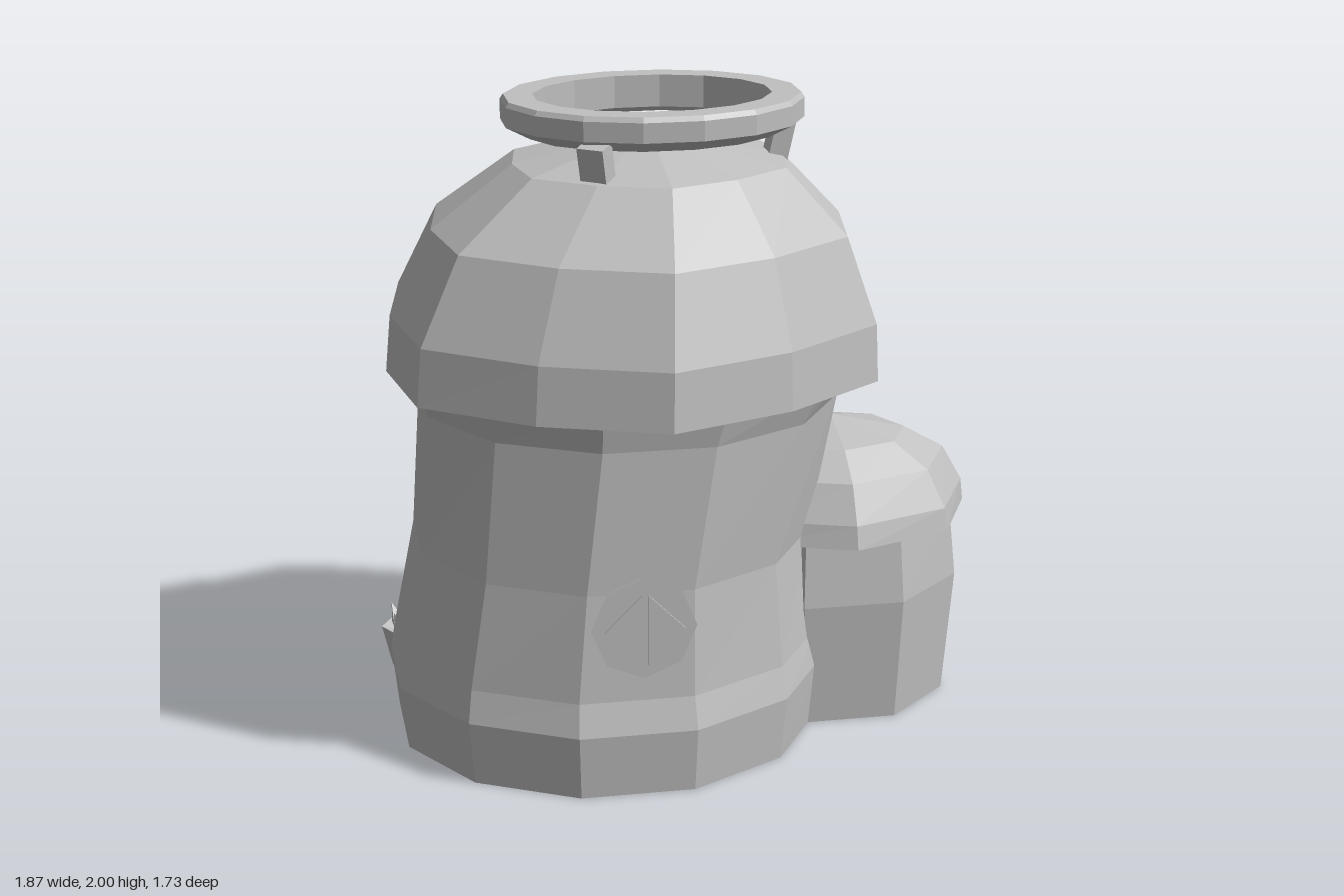
import * as THREE from 'three';

const stone = new THREE.MeshStandardMaterial({ color: 0xc0c0c0, side: THREE.DoubleSide });
stone.name = 'grey stone';

// Faceted loft through rings [y, centreX, radiusX, radiusZ]; a radius of 0 closes to a point.
// turn 0.5 puts a flat face at the front; mid scales every second corner.
function loft(rings, sides, turn = 0, mid = 1) {
  const point = ([y, cx, rx, rz], i) => {
    const a = ((i + turn) / sides) * Math.PI * 2;
    const f = i % 2 ? mid : 1;
    return [cx + Math.sin(a) * rx * f, y, Math.cos(a) * rz * f];
  };
  const pos = [];
  for (let k = 0; k < rings.length - 1; k++) {
    const lo = rings[k], hi = rings[k + 1];
    for (let i = 0; i < sides; i++) {
      const a = point(lo, i), b = point(lo, i + 1), c = point(hi, i + 1), d = point(hi, i);
      if (lo[2] > 0) pos.push(...a, ...b, ...c);
      if (hi[2] > 0) pos.push(...a, ...c, ...d);
    }
  }
  const g = new THREE.BufferGeometry();
  g.setAttribute('position', new THREE.Float32BufferAttribute(pos, 3));
  g.computeVertexNormals();
  return g;
}

const polygon = (pts) => new THREE.Shape(pts.map(([x, y]) => new THREE.Vector2(x, y)));
const extrude = (shape, depth) => new THREE.ExtrudeGeometry(shape, { depth, bevelEnabled: false });

// Box without its underside
function openBox(w, h, d) {
  const g = new THREE.BoxGeometry(w, h, d);
  const index = Array.from(g.index.array);
  index.splice(18, 6);
  g.setIndex(index);
  g.clearGroups();
  return g;
}

// Pointed arch outline standing on y = 0
function archPoints(w, shoulder, peak) {
  const bend = shoulder + (peak - shoulder) * 0.62;
  return [[-w, 0], [w, 0], [w, shoulder], [w * 0.62, bend], [0, peak], [-w * 0.62, bend], [-w, shoulder]];
}

export function createModel() {
  const model = new THREE.Group();
  model.name = 'roundHouse';
  const add = (name, geometry, x = 0, y = 0, z = 0, parent = model) => {
    const mesh = new THREE.Mesh(geometry, stone);
    mesh.name = name;
    mesh.position.set(x, y, z);
    parent.add(mesh);
    return mesh;
  };

  // Main tower, open underneath, leaning slightly as it rises
  add('towerWall', loft([
    [0, -0.265, 0.668, 0.64], [0.2, -0.265, 0.69, 0.657], [0.3, -0.265, 0.673, 0.628],
    [0.63, -0.248, 0.622, 0.602], [1.07, -0.19, 0.652, 0.602], [1.2, -0.175, 0.715, 0.627],
  ], 12, 0.5), 0, 0, 0.11);

  // Domed roof, six-cornered with softly bulging sides
  add('towerRoof', loft([
    [1.175, -0.18, 0.66, 0.62], [1.175, -0.18, 0.797, 0.75], [1.35, -0.175, 0.785, 0.735],
    [1.61, -0.155, 0.668, 0.63], [1.8, -0.12, 0.44, 0.4], [1.895, -0.12, 0, 0],
  ], 12, 0, 0.94), 0, 0, 0.11);

  // Oval crown ring
  add('crownRing', loft([
    [1.885, 0, 0.385, 0.29], [1.925, 0, 0.46, 0.364], [1.985, 0, 0.46, 0.364], [2, 0, 0.45, 0.355],
    [2, 0, 0.362, 0.275], [1.9, 0, 0.362, 0.275], [1.885, 0, 0.385, 0.29],
  ], 16, 0.5), -0.107, 0, 0.11);

  // Three crown supports, tilted outwards
  for (const [x, z] of [[0.39, 0], [-0.21, 0.28], [-0.21, -0.28]]) {
    const leg = add('crownSupport', new THREE.BoxGeometry(0.06, 0.16, 0.085), -0.11 + x, 1.833, 0.11 + z);
    leg.rotation.order = 'YXZ';
    leg.rotation.y = Math.atan2(-z, x);
    leg.rotation.z = -0.22;
  }

  // Side annex, open underneath
  add('annexWall', loft([
    [0, 0.485, 0.384, 0.355], [0.4, 0.485, 0.417, 0.387], [0.62, 0.485, 0.395, 0.36],
  ], 8, 0.5));
  add('annexRoof', loft([
    [0.598, 0.485, 0.38, 0.34], [0.598, 0.485, 0.448, 0.395], [0.67, 0.485, 0.44, 0.375],
    [0.785, 0.485, 0.375, 0.31], [0.86, 0.485, 0.245, 0.2], [0.917, 0.485, 0, 0],
  ], 8));

  // Front window: flared octagonal frame with two thin triangular panes
  const frame = add('windowFrame', loft([
    [0, 0, 0.125, 0.125], [0.085, 0, 0.158, 0.158], [0.085, 0, 0, 0],
  ], 8), -0.25, 0.545, 0.67);
  frame.rotation.x = Math.PI / 2;
  for (const s of [-1, 1]) {
    const pts = [[s * 0.01, -0.11], [s * 0.12, 0], [s * 0.01, 0.11]];
    add('windowPane', extrude(polygon(pts), 0.008), -0.25, 0.545, 0.767);
  }

  // Back door with pointed arch frame
  const arch = polygon(archPoints(0.235, 0.5, 0.835));
  arch.holes.push(polygon(archPoints(0.17, 0.43, 0.67).reverse()));
  add('doorFrame', extrude(arch, 0.18), -0.315, 0.2, -0.578);
  add('door', extrude(polygon(archPoints(0.18, 0.44, 0.69)), 0.13), -0.315, 0.2, -0.535);
  add('doorKnob', new THREE.OctahedronGeometry(0.026), -0.205, 0.5, -0.55);

  // Three hollow steps
  [[0.57, 0.2, -0.62], [0.595, 0.13, -0.719], [0.625, 0.065, -0.82]].forEach(([w, h, z]) =>
    add('step', openBox(w, h, 0.094), -0.315, h / 2, z));

  // Hanging lantern under the eaves
  add('lantern', loft([
    [0.932, 0, 0, 0], [0.932, 0, 0.065, 0.06], [0.985, 0, 0.085, 0.08],
    [1.015, 0, 0.105, 0.098], [1.1, 0, 0.06, 0.055], [1.14, 0, 0, 0],
  ], 6), 0.2, 0, -0.378);

  // Potted plant beside the door
  const plant = new THREE.Group();
  plant.name = 'pottedPlant';
  plant.position.set(-0.82, 0, -0.37);
  model.add(plant);
  add('pot', loft([
    [0, 0, 0.085, 0.09], [0.14, 0, 0.118, 0.125], [0.11, 0, 0, 0],
  ], 6, 0.5), 0, 0, 0, plant);
  for (let i = 0; i < 6; i++) {
    const a = (i / 6) * Math.PI * 2;
    const leaf = add('leaf', loft([[0, 0, 0.045, 0.035], [0.095, 0, 0, 0]], 4),
      Math.sin(a) * 0.06, 0.115, Math.cos(a) * 0.06, plant);
    leaf.rotation.set(0.35, a, 0, 'YXZ');
  }
  add('middleLeaf', loft([[0, 0, 0.045, 0.045], [0.13, 0, 0, 0]], 5), 0, 0.115, 0, plant);

  return model;
}
